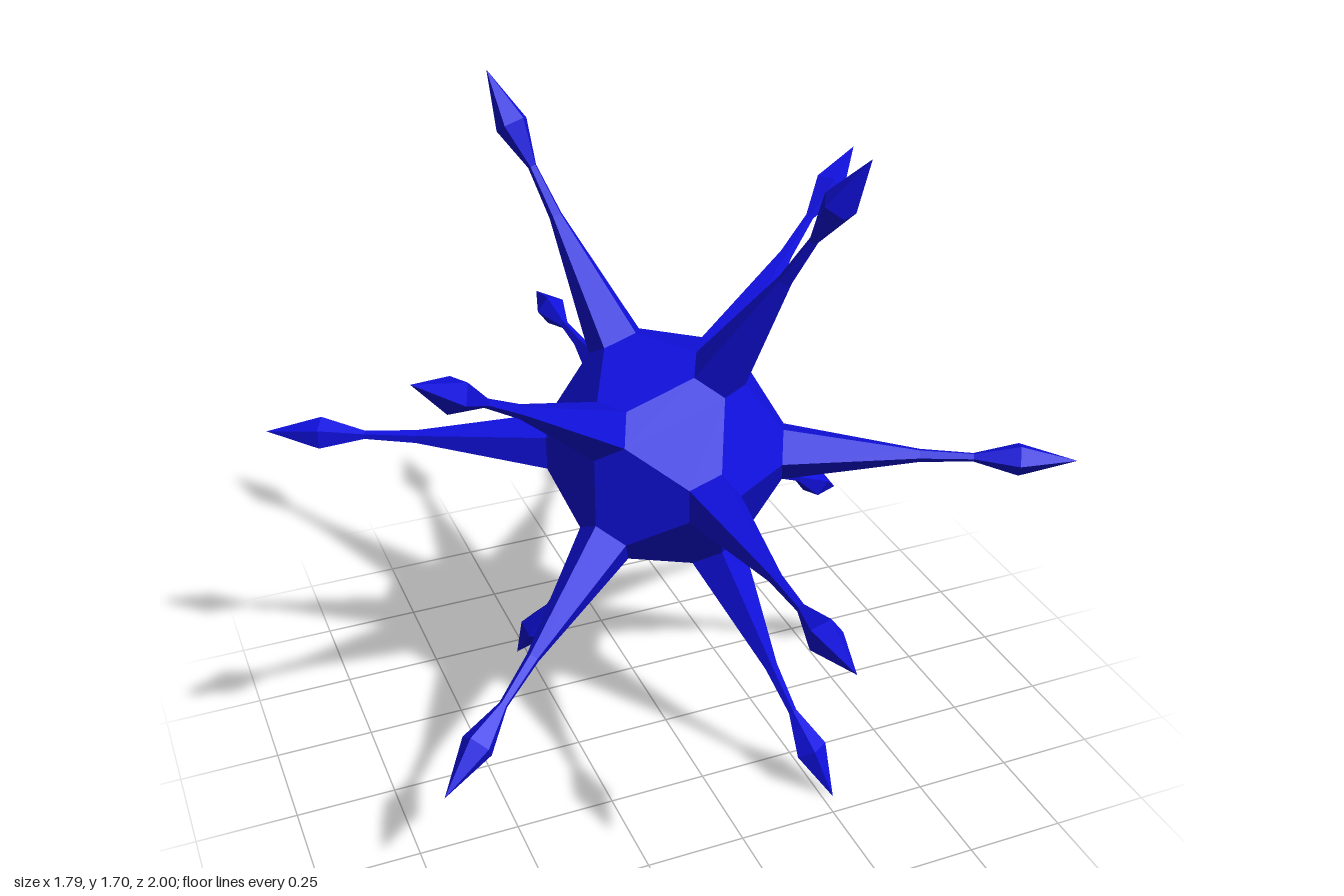
import * as THREE from 'three';
import { ConvexGeometry } from 'three/addons/geometries/ConvexGeometry.js';

const CENTER_Y = 0.8507; // height of the core's centre
const CORE_R = 0.332;    // icosahedron radius before its corners are cut
const CUT = 0.245;       // share of each edge cut off at a corner

// The 12 icosahedron directions: two poles on z and two staggered rings of five
function spikeDirections() {
  const dirs = [];
  const z = 1 / Math.sqrt(5), r = 2 / Math.sqrt(5);
  for (const s of [1, -1]) {
    dirs.push(new THREE.Vector3(0, 0, s));
    for (let i = 0; i < 5; i++) {
      const a = (i * Math.PI * 2) / 5;
      dirs.push(new THREE.Vector3(s * r * Math.cos(a), s * r * Math.sin(a), s * z));
    }
  }
  return dirs;
}

export function createModel() {
  const group = new THREE.Group();
  group.name = 'spikedBall';
  const material = new THREE.MeshStandardMaterial({ color: 0x1010e0, flatShading: true });
  const dirs = spikeDirections();
  const neighbours = (v) => dirs.filter((w) => Math.abs(v.dot(w) - 0.447) < 0.01);

  // Core: truncated icosahedron with hexagon panels and small pentagon bases
  const corners = [];
  for (const v of dirs) {
    for (const w of neighbours(v)) corners.push(v.clone().lerp(w, CUT).multiplyScalar(CORE_R));
  }
  const core = new THREE.Mesh(new ConvexGeometry(corners), material);
  core.name = 'core';
  core.position.y = CENTER_Y;
  group.add(core);

  // Spike: five-sided taper, thin neck and pointed diamond head
  const baseRadius = CORE_R * CUT * 0.8944;
  const baseHeight = CORE_R * (1 - CUT * 0.5528);
  const profile = [
    [baseRadius, baseHeight], [0.017, 0.62], [0.011, 0.75], [0.042, 0.86], [0, 1],
  ].map(([r, y]) => new THREE.Vector2(r, y));
  const spikeGeometry = new THREE.LatheGeometry(profile, 5);

  // One spike per pentagon, its corners aligned with the neighbouring spikes
  dirs.forEach((v, i) => {
    const spike = new THREE.Mesh(spikeGeometry, material);
    spike.name = `spike${i + 1}`;
    const zAxis = neighbours(v)[0].clone().projectOnPlane(v).normalize();
    const xAxis = v.clone().cross(zAxis);
    spike.quaternion.setFromRotationMatrix(new THREE.Matrix4().makeBasis(xAxis, v, zAxis));
    spike.position.y = CENTER_Y;
    group.add(spike);
  });

  return group;
}
